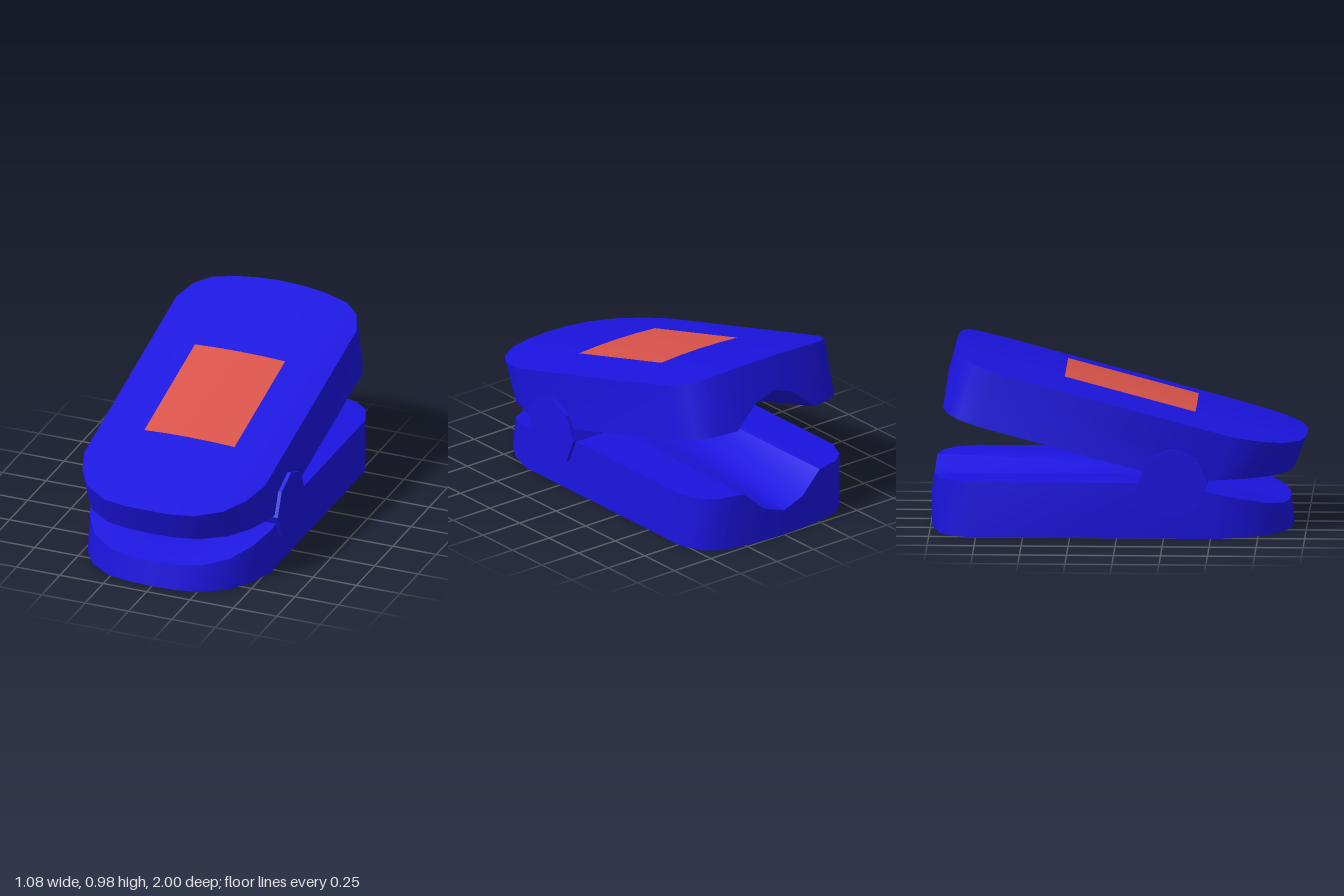
import * as THREE from 'three';
import { toCreasedNormals } from 'three/addons/utils/BufferGeometryUtils.js';

const HALF = 0.52, PIVOT = 0.3, TILT = Math.PI / 12, CROWN = 0.036;
const blue = new THREE.MeshStandardMaterial({ color: 0x1b14e0 });
const blueFlat = new THREE.MeshStandardMaterial({ color: 0x1b14e0, flatShading: true });
const red = new THREE.MeshStandardMaterial({ color: 0xd9534a });

// Half plan of a jaw: x, back z, front z, share of the finger groove depth
const PLAN = [
  [0, -1, 0.93, 1], [0.13, -0.995, 0.925, 0.72], [0.26, -0.98, 0.897, 0],
  [0.39, -0.95, 0.81, 0], [0.47, -0.888, 0.69, 0], [HALF, -0.77, 0.54, 0],
];
const COLUMNS = [
  ...PLAN.slice(1).reverse().map(([x, ...rest]) => [-x, ...rest]),
  ...PLAN,
];

// Jaw lofted across x; outer face down, grooved inner face up at y = 0.3
function jawGeometry(crown) {
  const slope = Math.tan(TILT), draft = 0.14, ridge = 0.31;
  const sections = COLUMNS.map(([x, back, front, groove]) => {
    const outer = crown ? -0.04 + CROWN * (x / HALF) ** 2 : 0;
    const lip = (0.3 - slope * (front - ridge)) / (1 - slope * draft);
    return [
      [back, outer], [front - draft * Math.max(outer, 0), outer], [front - draft * lip, lip],
      [ridge, 0.3 - 0.034 * groove], [back, 0.3 - 0.16 * groove],
    ].map(([z, y]) => [x, y, z]);
  });
  const pos = [];
  const tri = (...corners) => corners.forEach((c) => pos.push(...c));
  for (let i = 0; i < sections.length - 1; i++) {
    const a = sections[i], b = sections[i + 1];
    for (let j = 0; j < 5; j++) {
      const k = (j + 1) % 5;
      tri(a[j], b[j], b[k]);
      tri(a[j], b[k], a[k]);
    }
  }
  // Flat side walls
  const first = sections[0], last = sections[sections.length - 1];
  for (let j = 1; j < 4; j++) {
    tri(first[0], first[j], first[j + 1]);
    tri(last[0], last[j + 1], last[j]);
  }
  const geometry = new THREE.BufferGeometry();
  geometry.setAttribute('position', new THREE.Float32BufferAttribute(pos, 3));
  return toCreasedNormals(geometry, 0.65);
}

function part(name, geometry, material) {
  const mesh = new THREE.Mesh(geometry, material);
  mesh.name = name;
  return mesh;
}

export function createModel() {
  const model = new THREE.Group();
  model.name = 'fingerClip';
  model.add(part('lowerJaw', jawGeometry(false), blue));

  // Upper jaw, turned over and opened about the hinge
  const upper = new THREE.Group();
  upper.name = 'upperJaw';
  upper.position.set(0, PIVOT, PIVOT);
  upper.rotation.x = TILT;
  const shell = part('upperShell', jawGeometry(true), blue);
  shell.rotation.z = Math.PI;
  shell.position.set(0, 0.32, -PIVOT);
  upper.add(shell);

  // Display panel following the crowned top
  const panel = new THREE.PlaneGeometry(0.52, 0.72, 4, 1).rotateX(-Math.PI / 2);
  const p = panel.attributes.position;
  for (let i = 0; i < p.count; i++) p.setY(i, 0.364 - CROWN * (p.getX(i) / HALF) ** 2);
  panel.translate(0, 0, -0.34);
  panel.computeVertexNormals();
  upper.add(part('displayPanel', panel, red));
  model.add(upper);

  // Octagonal hinge pin through both jaws
  const hinge = part('hinge', new THREE.CylinderGeometry(0.185, 0.185, 1.08, 8), blueFlat);
  hinge.rotation.z = Math.PI / 2;
  hinge.position.set(0, 0.303, PIVOT);
  model.add(hinge);
  return model;
}
